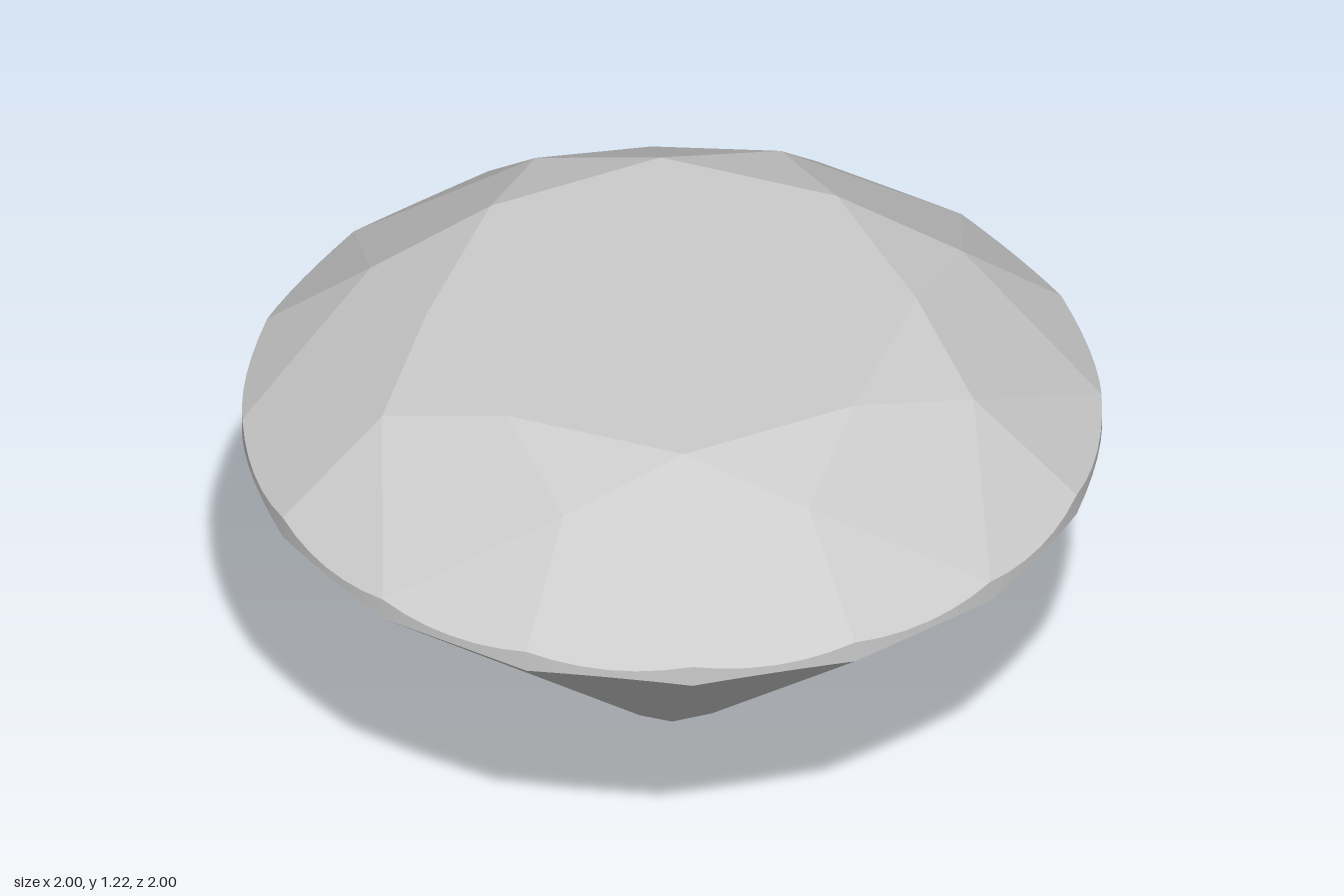
import * as THREE from 'three';

const STEP = Math.PI / 8;   // half of one eighth: spacing of neighbouring facet corners
const ARC = 6;              // girdle subdivisions per step
const TABLE_R = 0.57, TABLE_Y = 1.215;
const CROWN_Y = 0.92, PAVILION_Y = 0.865;   // girdle heights at the facet corners
const STAR_R = 0.745, LOW_R = 0.22;         // inner corners of the upper and lower half facets

const polar = (a, r, y) => new THREE.Vector3(r * Math.sin(a), y, r * Math.cos(a));

// Inner corners lie on the planes of the main kite facets.
const starY = TABLE_Y - (STAR_R * Math.cos(STEP) - TABLE_R) * (TABLE_Y - CROWN_Y) / (1 - TABLE_R);
const lowY = PAVILION_Y * LOW_R * Math.cos(STEP);

const table = a => polar(a, TABLE_R, TABLE_Y);
const star = a => polar(a, STAR_R, starY);
const low = a => polar(a, LOW_R, lowY);
const culet = new THREE.Vector3(0, 0, 0);

// Scalloped girdle edge: the unit cylinder cut by the plane of a half facet.
function scallop(start, cornerY, innerR, innerY) {
  const half = STEP / 2, c = Math.cos(half);
  const slope = (cornerY - innerY) / (c - innerR * c);
  return Array.from({ length: ARC + 1 }, (_, i) => {
    const t = (i / ARC) * STEP;
    return polar(start + t, 1, cornerY + slope * (Math.cos(t - half) - c));
  });
}
const upperArc = a => scallop(a, CROWN_Y, STAR_R, starY);
const lowerArc = a => scallop(a, PAVILION_Y, LOW_R, lowY);

// Flat facets, each a convex polygon with counter-clockwise corners.
function facetMesh(name, facets, material) {
  const points = [];
  for (const f of facets)
    for (let i = 1; i < f.length - 1; i++) points.push(f[0], f[i], f[i + 1]);
  const geometry = new THREE.BufferGeometry().setFromPoints(points);
  geometry.computeVertexNormals();
  const mesh = new THREE.Mesh(geometry, material);
  mesh.name = name;
  return mesh;
}

export function createModel() {
  const model = new THREE.Group();
  model.name = 'brilliantCutGem';
  const flat = new THREE.MeshStandardMaterial({ color: 0xcccccc, flatShading: true });
  const smooth = new THREE.MeshStandardMaterial({ color: 0xcccccc });

  const top = [], kites = [], stars = [], upperHalves = [], mains = [], lowerHalves = [], band = [];
  for (let k = 0; k < 8; k++) {
    const a = k * 2 * STEP, l = a - STEP, r = a + STEP;
    top.push(table(a));
    kites.push([table(a), star(l), polar(a, 1, CROWN_Y), star(r)]);
    stars.push([table(a), star(r), table(a + 2 * STEP)]);
    mains.push([polar(a, 1, PAVILION_Y), low(l), culet, low(r)]);
    // Half facets on both sides of this corner, and the girdle strip between them
    for (const [inner, start] of [[l, l], [r, a]]) {
      const up = upperArc(start), down = lowerArc(start);
      upperHalves.push([star(inner), ...up]);
      lowerHalves.push([low(inner), ...down.slice().reverse()]);
      for (let i = 0; i < ARC; i++) band.push([down[i], down[i + 1], up[i + 1], up[i]]);
    }
  }

  // Girdle with radial normals so the band reads as round
  const girdle = facetMesh('girdle', band, smooth);
  const p = girdle.geometry.attributes.position, n = girdle.geometry.attributes.normal;
  for (let i = 0; i < p.count; i++) n.setXYZ(i, p.getX(i), 0, p.getZ(i));

  model.add(
    facetMesh('tableFacet', [top], flat),
    facetMesh('crownKiteFacets', kites, flat),
    facetMesh('starFacets', stars, flat),
    facetMesh('upperHalfFacets', upperHalves, flat),
    girdle,
    facetMesh('lowerHalfFacets', lowerHalves, flat),
    facetMesh('pavilionMainFacets', mains, flat)
  );
  return model;
}
